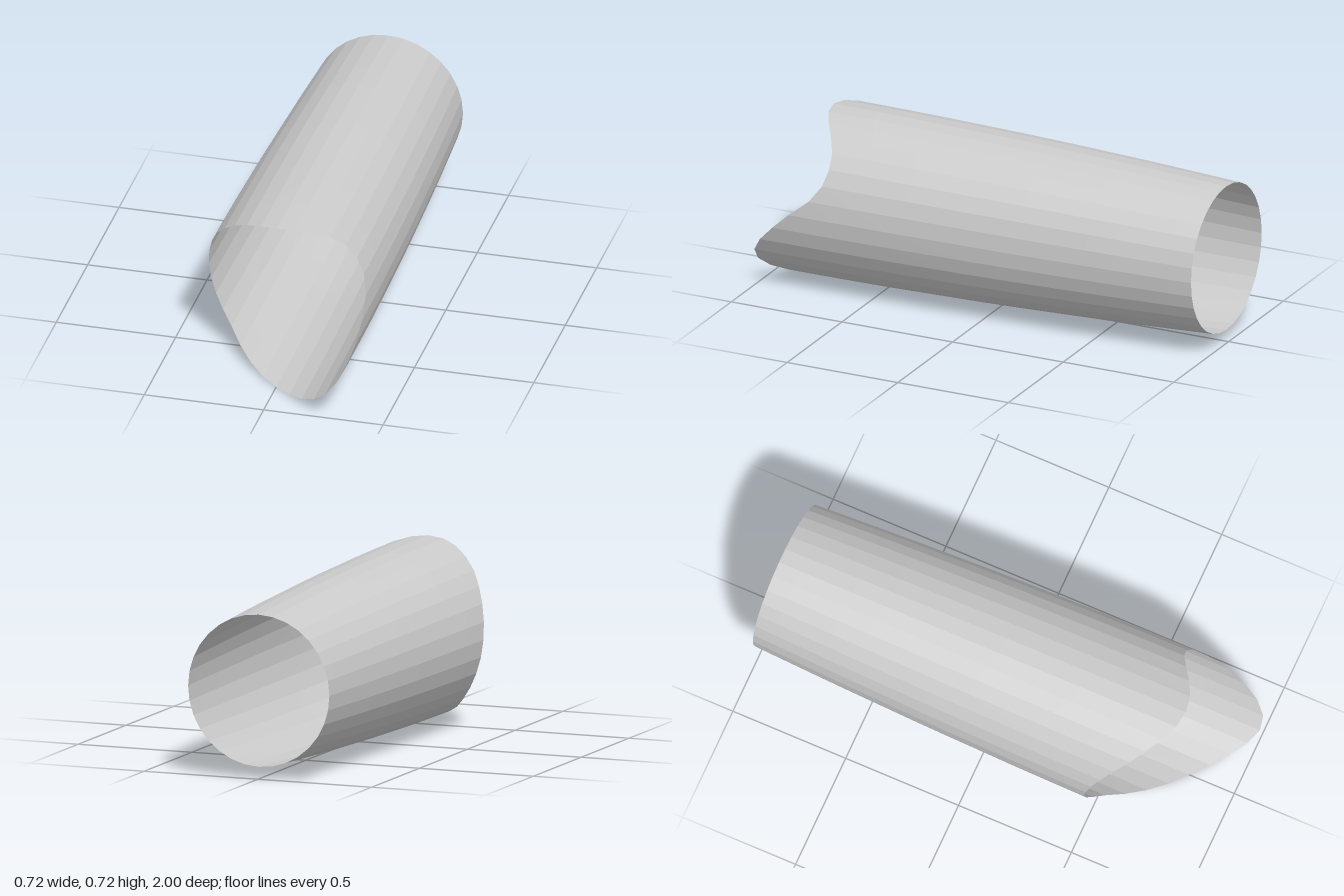
import * as THREE from 'three';

const SIDES = 32;
const CENTRE_Y = 0.363;

// Front rim: z every 15 degrees, starting at +x and turning up over the top
const RIM = [
  0.81, 0.70, 0.66, 0.665, 0.71, 0.765, 0.785, 0.765, 0.71, 0.65, 0.58, 0.53,
  0.50, 0.49, 0.50, 0.54, 0.63, 0.72, 0.80, 0.88, 0.955, 1.0, 0.985, 0.91,
];
const rimCurve = new THREE.CatmullRomCurve3(
  RIM.map((z) => new THREE.Vector3(z - 0.785, 0, 0)), true, 'catmullrom', 0.5);

// Seams from front to back: z at the top, strength of the wave, lean on the -x side
const SEAMS = [
  [0.785, 1, 0],
  [0.58, 0.84, 0.01],
  [0.375, 0.70, 0.02],
  [-0.01, 0.43, 0],
  [-0.18, 0.30, 0.01],
  [-0.5, 0.13, 0.035],
  [-0.635, 0.06, 0.04],
  [-0.88, 0, 0.025],
  [-0.985, 0, 0.01],
];

// The tube narrows gently towards the back
function radiusAt(z) {
  const t = Math.max(0, (0.8 - z) / 1.78);
  return 0.362 - 0.049 * Math.pow(t, 1.9);
}

function seamPoint([top, wave, lean], i) {
  const u = (i % SIDES) / SIDES;
  const a = u * Math.PI * 2;
  const z = top + wave * rimCurve.getPoint(u).x - lean * (1 - Math.cos(a)) / 2;
  const r = radiusAt(z);
  return [r * Math.cos(a), CENTRE_Y + r * Math.sin(a), z];
}

// Ring of quads between two seams, facing outwards
function sectionGeometry(front, back) {
  const positions = [];
  const index = [];
  for (let i = 0; i <= SIDES; i++) {
    positions.push(...seamPoint(front, i), ...seamPoint(back, i));
    if (i < SIDES) {
      const a = i * 2;
      index.push(a, a + 1, a + 2, a + 1, a + 3, a + 2);
    }
  }
  const geometry = new THREE.BufferGeometry();
  geometry.setAttribute('position', new THREE.Float32BufferAttribute(positions, 3));
  geometry.setIndex(index);
  geometry.computeVertexNormals();
  return geometry;
}

export function createModel() {
  const model = new THREE.Group();
  model.name = 'bandedSleeve';
  const material = new THREE.MeshStandardMaterial({
    color: 0xcccccc, flatShading: true, side: THREE.DoubleSide,
  });

  // Plain sections alternate with wavy bands
  for (let i = 0; i < SEAMS.length - 1; i++) {
    const mesh = new THREE.Mesh(sectionGeometry(SEAMS[i], SEAMS[i + 1]), material);
    mesh.name = (i % 2 ? 'band' : 'sleeveSection') + (Math.floor(i / 2) + 1);
    model.add(mesh);
  }
  return model;
}
